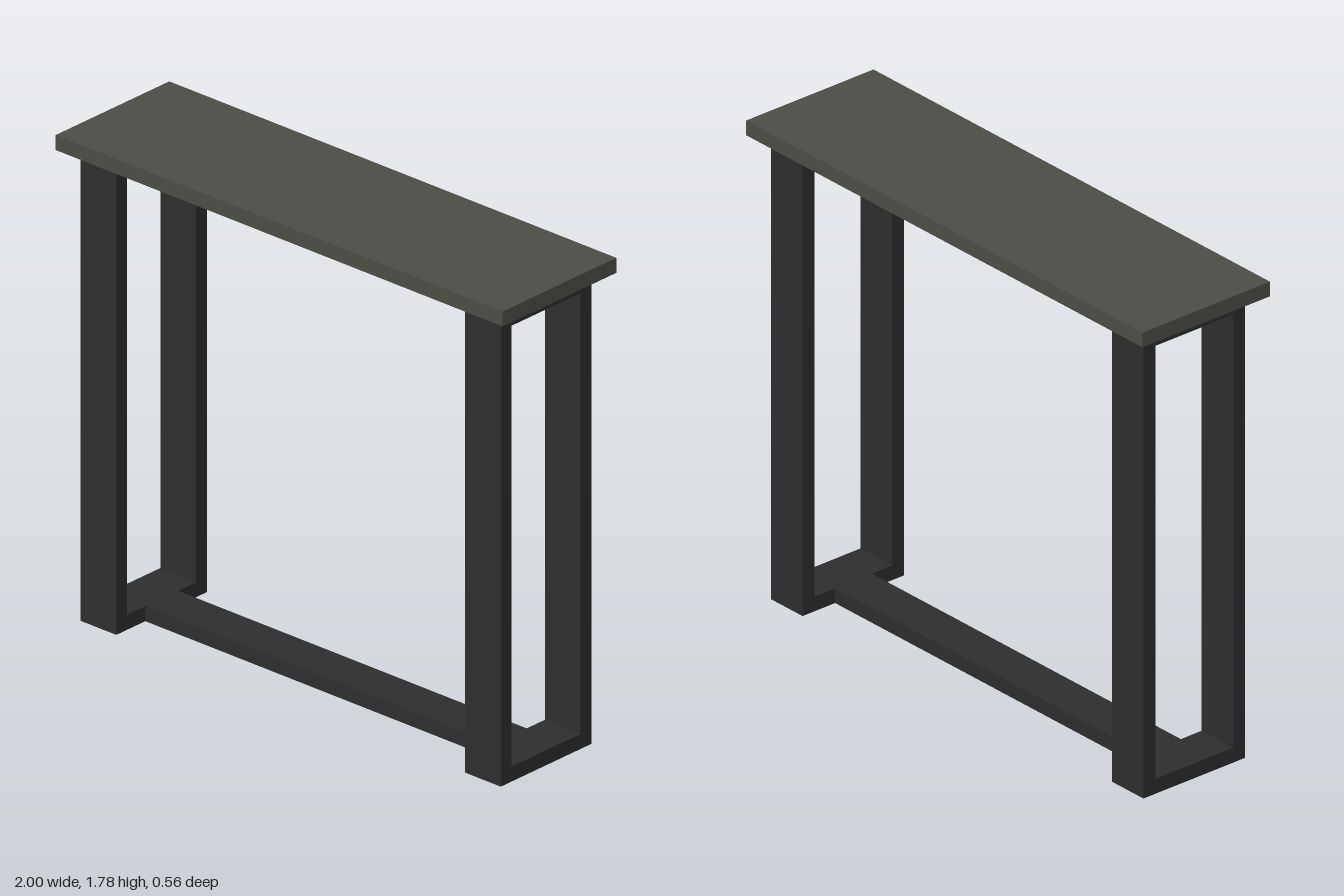
import * as THREE from 'three';

export function createModel() {
  const model = new THREE.Group();
  const topMat = new THREE.MeshStandardMaterial({ color: 0x4c4c46 });
  topMat.name = 'greyTop';
  const frameMat = new THREE.MeshStandardMaterial({ color: 0x2d2d2d });
  frameMat.name = 'darkFrame';

  const T = 0.055;       // thickness of board and bars
  const H = 1.724;       // frame height
  const D = 0.222;       // half depth of the leg frames
  const W = 0.16;        // width of the flat bars
  const legX = 0.86;     // centre of each leg frame

  const add = (name, geometry, material, x, y, z) => {
    const mesh = new THREE.Mesh(geometry, material);
    mesh.name = name;
    mesh.position.set(x, y, z);
    model.add(mesh);
    return mesh;
  };

  // Table top
  add('tableTop', new THREE.BoxGeometry(2, T, 0.556), topMat, 0, H + T / 2, 0);

  // Rectangular leg frame: outline with a hole, extruded along x
  const outline = new THREE.Shape([
    new THREE.Vector2(-D, 0), new THREE.Vector2(D, 0),
    new THREE.Vector2(D, H), new THREE.Vector2(-D, H),
  ]);
  const d = D - T + 0.002;
  outline.holes.push(new THREE.Path([
    new THREE.Vector2(-d, T), new THREE.Vector2(-d, H - T),
    new THREE.Vector2(d, H - T), new THREE.Vector2(d, T),
  ]));
  const legGeo = new THREE.ExtrudeGeometry(outline, { depth: W, bevelEnabled: false });
  legGeo.translate(0, 0, -W / 2).rotateY(Math.PI / 2);
  add('leftLegFrame', legGeo, frameMat, legX, 0, 0);
  add('rightLegFrame', legGeo, frameMat, -legX, 0, 0);

  // Flat stretchers joining the two frames
  const barGeo = new THREE.BoxGeometry(2 * legX - W, T, W);
  add('lowerStretcher', barGeo, frameMat, 0, T / 2, 0);
  add('upperStretcher', barGeo, frameMat, 0, H - T / 2, 0);

  return model;
}
